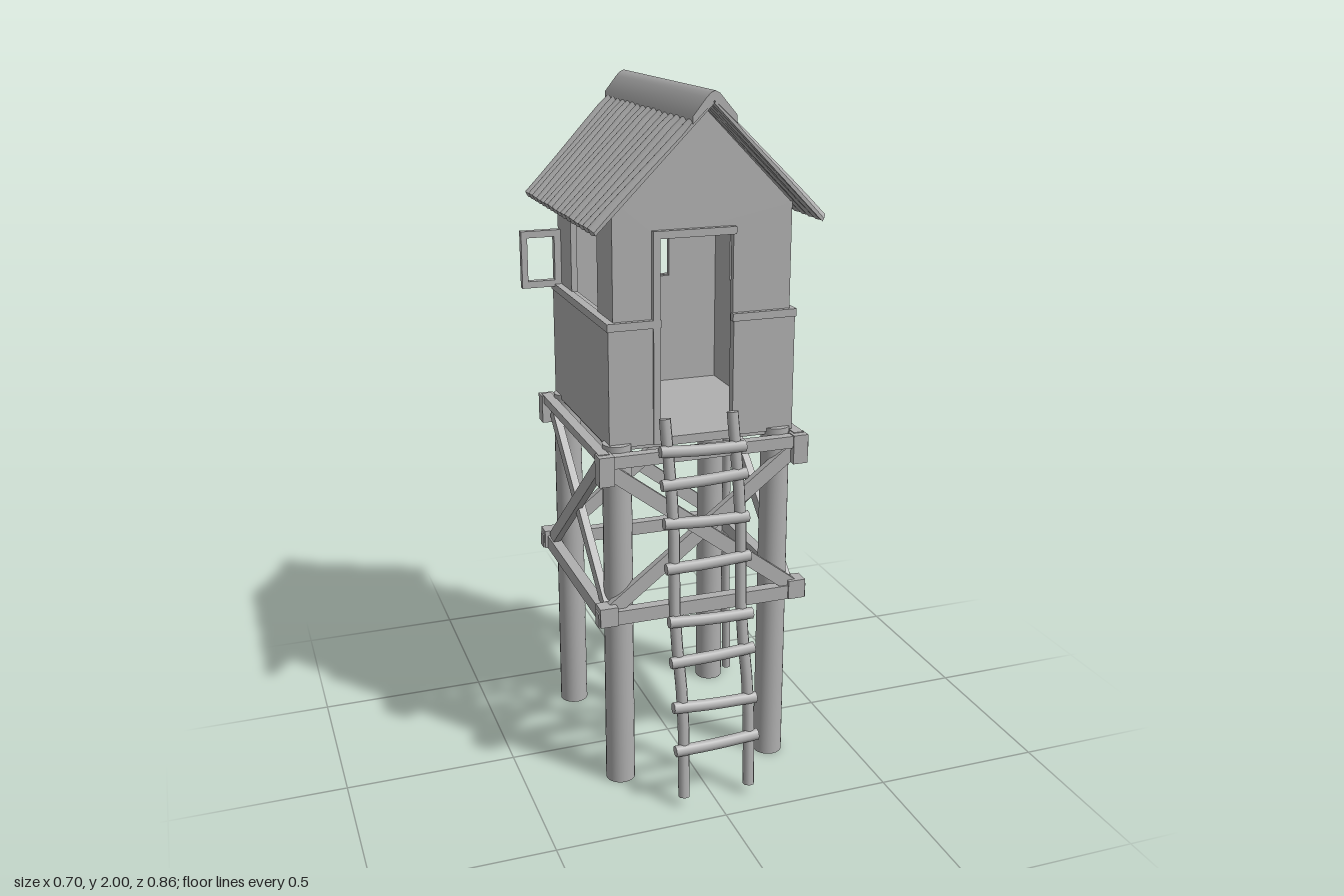
import * as THREE from 'three';
import { toCreasedNormals } from 'three/addons/utils/BufferGeometryUtils.js';

const grey = new THREE.MeshStandardMaterial({ color: 0xb0b0b0 });
grey.name = 'weathered grey';

const V = (x, y, z) => new THREE.Vector3(x, y, z);

function add(parent, name, geometry) {
  const mesh = new THREE.Mesh(geometry, grey);
  mesh.name = name;
  parent.add(mesh);
  return mesh;
}

// Box given by its minimum and maximum corners
function box(parent, name, x0, x1, y0, y1, z0, z1) {
  const g = new THREE.BoxGeometry(x1 - x0, y1 - y0, z1 - z0);
  g.translate((x0 + x1) / 2, (y0 + y1) / 2, (z0 + z1) / 2);
  return add(parent, name, g);
}

// Squared timber between two points, thin along its local z
function beam(parent, name, a, b, width, depth, out) {
  const dir = b.clone().sub(a);
  const mesh = add(parent, name, new THREE.BoxGeometry(width, dir.length(), depth));
  const y = dir.clone().normalize();
  const x = y.clone().cross(out).normalize();
  const z = x.clone().cross(y);
  mesh.quaternion.setFromRotationMatrix(new THREE.Matrix4().makeBasis(x, y, z));
  mesh.position.copy(a).add(b).multiplyScalar(0.5);
}

// Rough round pole through a few points
function pole(parent, name, points, radius, sides = 7) {
  const curve = new THREE.CatmullRomCurve3(points);
  add(parent, name, new THREE.TubeGeometry(curve, 10, radius, sides));
  [0, 1].forEach((t) => {
    const cap = add(parent, name + 'End', new THREE.CircleGeometry(radius, sides));
    cap.position.copy(curve.getPoint(t));
    cap.quaternion.setFromUnitVectors(V(0, 0, 1), curve.getTangent(t).multiplyScalar(t ? 1 : -1));
  });
}

function rectPath(x0, x1, y0, y1) {
  return new THREE.Path([[x0, y0], [x0, y1], [x1, y1], [x1, y0]].map((p) => new THREE.Vector2(...p)));
}

function extrude(points, depth, holes = []) {
  const shape = new THREE.Shape(points.map((p) => new THREE.Vector2(...p)));
  shape.holes = holes;
  return new THREE.ExtrudeGeometry(shape, { depth, bevelEnabled: false });
}

function buildStand() {
  const stand = new THREE.Group();
  stand.name = 'stand';
  const xs = [-0.22, 0.255], zs = [0.2, -0.305];
  for (const x of xs) for (const z of zs) {
    const leg = add(stand, 'leg', new THREE.CylinderGeometry(0.041, 0.043, 1.05, 20));
    leg.position.set(x, 0.525, z);
    // Joint blocks at the corners
    const sx = x < 0 ? -1 : 1, sz = z > 0 ? 1 : -1;
    const jx = x + sx * 0.05, jz = z + sz * 0.05;
    box(stand, 'lowerJoint', jx - 0.026, jx + 0.026, 0.53, 0.587, jz - 0.024, jz + 0.024);
    box(stand, 'upperJoint', jx - 0.022, jx + 0.022, 0.95, 1.035, jz - 0.022, jz + 0.022);
  }
  // Horizontal beams and crossed braces, front and back
  for (const z of [0.252, -0.357]) {
    const out = V(0, 0, Math.sign(z));
    beam(stand, 'lowerBeam', V(-0.3, 0.55, z), V(0.335, 0.55, z), 0.042, 0.032, out);
    beam(stand, 'upperBeam', V(-0.275, 1.015, z), V(0.33, 1.015, z), 0.035, 0.03, out);
    beam(stand, 'brace', V(-0.26, 0.99, z), V(0.29, 0.57, z), 0.042, 0.022, out);
    beam(stand, 'brace', V(0.3, 0.99, z - out.z * 0.012), V(-0.25, 0.57, z - out.z * 0.012), 0.042, 0.022, out);
  }
  // The same on both sides
  for (const x of [-0.272, 0.307]) {
    const out = V(Math.sign(x), 0, 0);
    beam(stand, 'lowerBeam', V(x, 0.55, 0.26), V(x, 0.55, -0.38), 0.042, 0.032, out);
    beam(stand, 'upperBeam', V(x, 1.025, 0.25), V(x, 1.025, -0.36), 0.025, 0.03, out);
    beam(stand, 'brace', V(x, 0.99, 0.21), V(x, 0.57, -0.31), 0.04, 0.022, out);
    beam(stand, 'brace', V(x - out.x * 0.012, 0.99, -0.31), V(x - out.x * 0.012, 0.57, 0.21), 0.04, 0.022, out);
  }
  // Thin pole tied to one back leg
  pole(stand, 'sidePole', [V(0.324, 0.01, -0.312), V(0.316, 0.5, -0.315), V(0.32, 1, -0.318)], 0.014);
  return stand;
}

function buildCabin() {
  const cabin = new THREE.Group();
  cabin.name = 'cabin';
  const base = 1.04, sill = 1.39, head = 1.61;
  box(cabin, 'floor', -0.24, 0.29, 1.03, 1.055, -0.33, 0.215);

  // Gable walls, with a doorway in front and a window behind
  const gable = [[0.285, 1.685], [0.01, 1.965], [-0.23, 1.72], [-0.23, base]];
  const front = extrude([...gable, [-0.1, base], [-0.1, head], [0.115, head], [0.115, base], [0.285, base]], 0.018);
  add(cabin, 'frontWall', front.translate(0, 0, 0.192));
  const back = extrude([...gable, [0.285, base]], 0.018, [rectPath(-0.1, 0.115, sill, head)]);
  add(cabin, 'backWall', back.translate(0, 0, -0.33));

  // Side walls with windows
  for (const [x, top] of [[-0.23, 1.715], [0.267, 1.69]]) {
    const side = extrude([[-0.21, base], [0.33, base], [0.33, top], [-0.21, top]], 0.018,
      [rectPath(-0.07, 0.19, sill, head)]);
    add(cabin, 'sideWall', side.rotateY(Math.PI / 2).translate(x, 0, 0));
  }

  // Lower cladding with a ledge along its top
  const panels = [
    [-0.245, -0.1, 0.208, 0.22], [0.115, 0.298, 0.208, 0.22],
    [-0.245, 0.298, -0.34, -0.328],
    [-0.247, -0.229, -0.34, 0.22], [0.283, 0.298, -0.34, 0.22],
  ];
  for (const [x0, x1, z0, z1] of panels) {
    box(cabin, 'cladding', x0, x1, base, 1.375, z0, z1);
    box(cabin, 'ledge', x0 - 0.004, x1 + 0.003, 1.37, 1.392, z0 - 0.003, z1 + 0.004);
  }

  // Door frame
  box(cabin, 'doorLintel', -0.12, 0.118, 1.612, 1.633, 0.19, 0.226);
  box(cabin, 'doorPost', -0.12, -0.1, base, 1.614, 0.19, 0.226);

  // Window frame swung open on the side
  const shutter = extrude([[-0.35, 1.385], [-0.23, 1.385], [-0.23, 1.555], [-0.35, 1.555]], 0.022,
    [rectPath(-0.332, -0.25, 1.405, 1.535)]);
  add(cabin, 'openShutter', shutter.translate(0, 0, -0.322));
  return cabin;
}

// One corrugated roof slope; s is the side it falls to
function roofSlope(s) {
  const g = new THREE.BoxGeometry(1, 1, 1, 12, 1, 128);
  const p = g.attributes.position;
  const run = s > 0 ? 0.325 : 0.315;
  for (let i = 0; i < p.count; i++) {
    const u = s > 0 ? p.getX(i) + 0.5 : 0.5 - p.getX(i);
    const v = p.getZ(i) + 0.5;
    const rib = Math.abs(Math.sin(v * 16 * Math.PI));
    const fade = THREE.MathUtils.smoothstep(u, 0.12, 0.22);
    const lift = fade * (0.011 * rib - 0.004 + 0.002 * Math.sin(v * 23 + u * 5));
    const z0 = THREE.MathUtils.lerp(-0.42, s > 0 ? -0.41 : -0.39, u);
    const z1 = THREE.MathUtils.lerp(0.325, 0.304, u);
    const ragged = u * (0.006 * rib - 0.003);
    const thick = p.getY(i) > 0 ? 0.014 + lift : 0;
    p.setXYZ(i, 0.01 + s * (u * run + ragged + thick * 0.4), 1.968 - u * 0.322 + thick * 0.8, THREE.MathUtils.lerp(z0, z1, v));
  }
  return toCreasedNormals(g, 0.5);
}

function buildRoof() {
  const roof = new THREE.Group();
  roof.name = 'roof';
  for (const s of [-1, 1]) add(roof, 'roofSlope', roofSlope(s));
  // Smooth ridge cap
  const cap = extrude([[-0.048, 1.918], [-0.048, 1.938], [-0.012, 1.983], [0, 1.995], [0.012, 2], [0.024, 1.994],
    [0.036, 1.98], [0.072, 1.938], [0.072, 1.918], [0.01, 1.975]], 0.755);
  add(roof, 'ridgeCap', toCreasedNormals(cap.translate(0, 0, -0.428), 0.7));
  return roof;
}

function buildLadder() {
  const ladder = new THREE.Group();
  ladder.name = 'ladder';
  const zAt = (y) => 0.415 - 0.165 * (y - 0.03) / 1.09;
  for (const x of [-0.093, 0.107]) {
    const pts = [0.03, 0.3, 0.55, 0.83, 1.12].map((y, i) => V(x + (i % 2 ? 0.005 : -0.003), y, zAt(y) + (i % 2 ? 0.004 : -0.002)));
    pole(ladder, 'rail', pts, 0.017);
  }
  [0.18, 0.3, 0.44, 0.55, 0.71, 0.83, 0.945, 1.03].forEach((y, i) => {
    const z = zAt(y) + 0.012, tilt = i % 2 ? 0.005 : -0.004;
    pole(ladder, 'rung', [V(-0.12, y + tilt, z), V(0, y - 0.003, z), V(0.132, y - tilt, z)], 0.017);
  });
  return ladder;
}

export function createModel() {
  const model = new THREE.Group();
  model.name = 'watchtower';
  model.add(buildStand(), buildCabin(), buildRoof(), buildLadder());
  return model;
}
